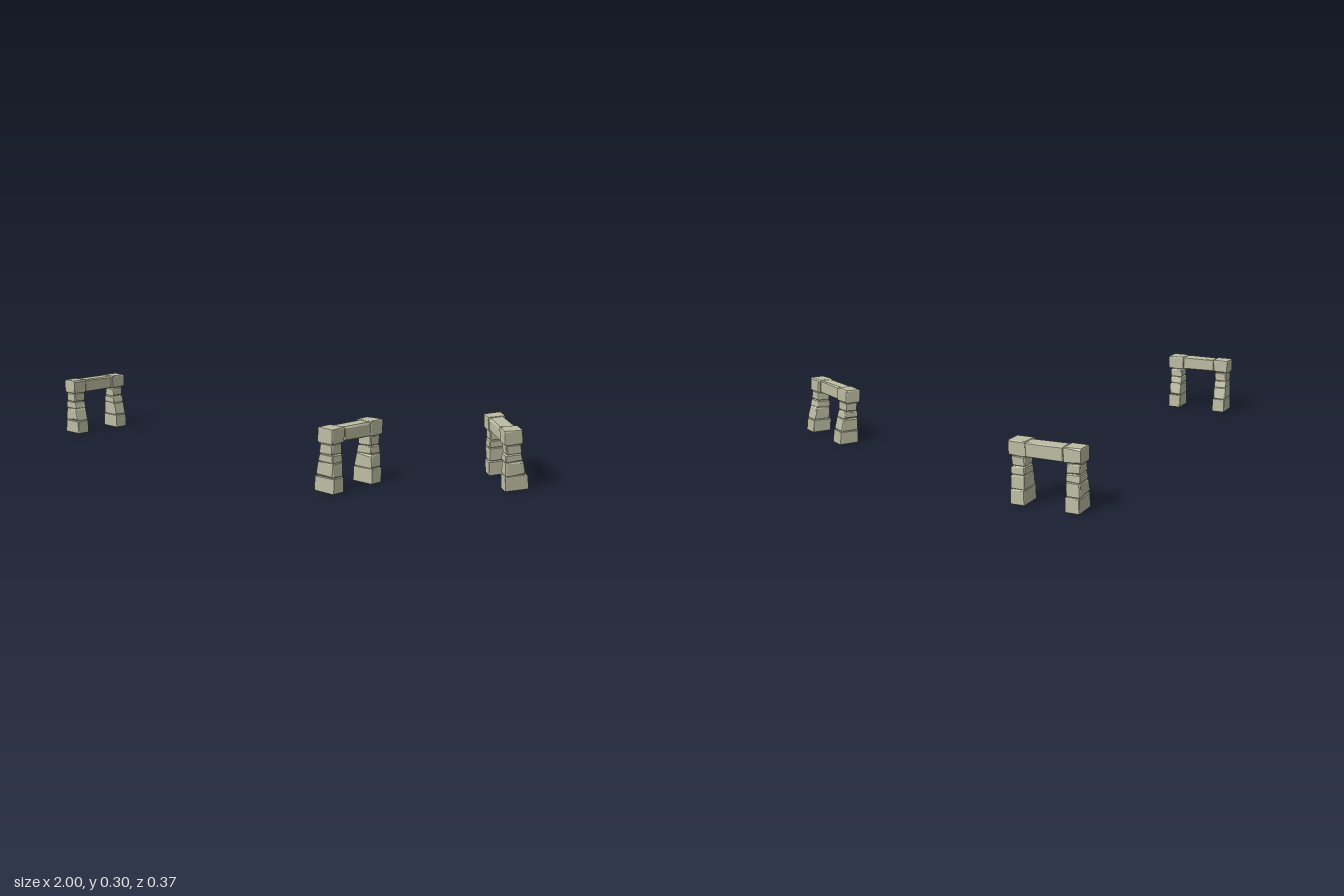
import * as THREE from 'three';
import { ConvexGeometry } from 'three/addons/geometries/ConvexGeometry.js';

// small seeded generator for the uneven stone edges
let seed = 7;
const rand = () => (seed = (seed * 16807) % 2147483647) / 2147483647;

const material = new THREE.MeshStandardMaterial({ color: 0xbdbda4, flatShading: true });

// Hewn block with irregular chamfers; x ranges at bottom and top allow a taper
function stone(name, side, xBottom, xTop, [y0, y1], [z0, z1], minCut, maxCut) {
  const points = [];
  for (const i of [0, 1]) for (const j of [0, 1]) for (const k of [0, 1]) {
    const cut = () => minCut + (maxCut - minCut) * rand() ** 2;
    const corner = (dx, dy, dz) => {
      const t = Math.abs(j - dy / (y1 - y0));
      const a = THREE.MathUtils.lerp(xBottom[0], xTop[0], t);
      const b = THREE.MathUtils.lerp(xBottom[1], xTop[1], t);
      const x = i ? b - dx : a + dx;
      const y = j ? y1 - dy : y0 + dy;
      const z = k ? z1 - dz : z0 + dz;
      points.push(new THREE.Vector3(x * side, y, z));
    };
    const cx = cut(), cy = cut(), cz = cut();
    corner(0, cy, cz);
    corner(cx, 0, cz);
    corner(cx, cy, 0);
  }
  const mesh = new THREE.Mesh(new ConvexGeometry(points), material);
  mesh.name = name;
  return mesh;
}

// Courses of a pillar: name, x at bottom, x at top, y, z on front pillar, z on back pillar, chamfers
const courses = [
  ['baseStone', [0.884, 1], [0.886, 0.998], [0, 0.072], [0.103, 0.175], [-0.175, -0.103], 0.001, 0.005],
  ['lowerStone', [0.889, 0.995], [0.903, 0.992], [0.073, 0.141], [0.104, 0.177], [-0.174, -0.102], 0.002, 0.012],
  ['middleStone', [0.903, 0.992], [0.911, 0.989], [0.142, 0.179], [0.105, 0.176], [-0.172, -0.102], 0.002, 0.008],
  ['upperStone', [0.91, 0.985], [0.911, 0.985], [0.181, 0.227], [0.106, 0.176], [-0.172, -0.103], 0.002, 0.009],
  ['capStone', [0.905, 0.993], [0.905, 0.993], [0.23, 0.302], [0.096, 0.184], [-0.184, -0.093], 0.002, 0.01],
];

function gate(name, side) {
  const group = new THREE.Group();
  group.name = name;
  // two pillars of stacked stones
  for (const front of [true, false]) {
    const pillar = new THREE.Group();
    pillar.name = front ? 'frontPillar' : 'backPillar';
    for (const [part, xb, xt, y, zf, zb, c0, c1] of courses) {
      pillar.add(stone(part, side, xb, xt, y, front ? zf : zb, c0, c1));
    }
    group.add(pillar);
  }
  // long stone bridging the caps
  group.add(stone('lintel', side, [0.917, 0.991], [0.917, 0.991], [0.231, 0.3], [-0.097, 0.096], 0.003, 0.014));
  return group;
}

export function createModel() {
  seed = 7;
  const model = new THREE.Group();
  model.name = 'stoneGates';
  model.add(gate('leftGate', 1), gate('rightGate', -1));
  return model;
}
